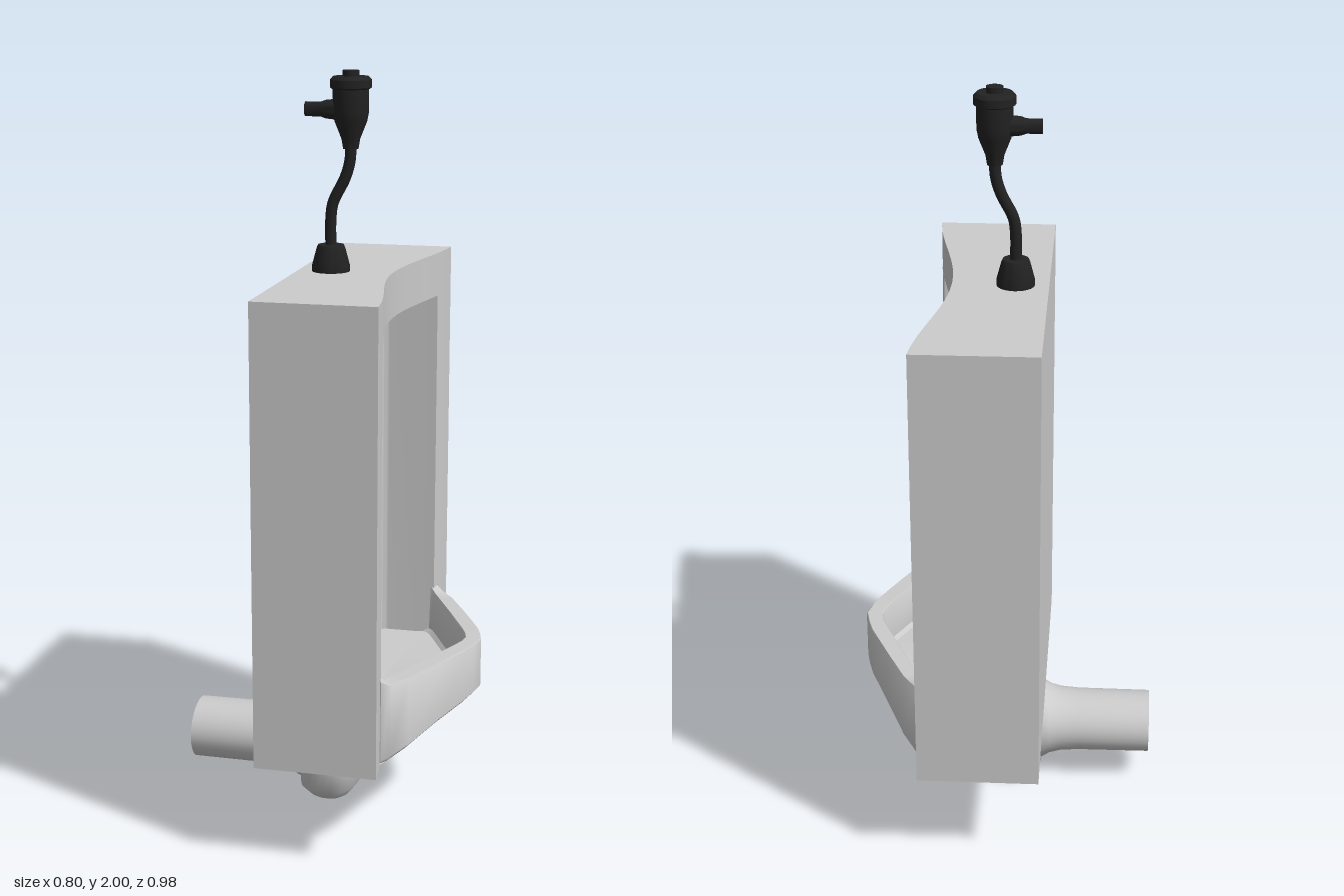
import * as THREE from 'three';
import { toCreasedNormals } from 'three/addons/utils/BufferGeometryUtils.js';

const ceramic = new THREE.MeshStandardMaterial({ color: 0xcccccc, side: THREE.DoubleSide });
const black = new THREE.MeshStandardMaterial({ color: 0x222222 });

// x of the concave front face at a given z
const frontX = (z) => 0.147 + 0.035 * (1 - Math.cos(Math.PI * z / 0.54));

function add(group, name, geometry, material) {
  const mesh = new THREE.Mesh(geometry, material);
  mesh.name = name;
  group.add(mesh);
}

// Skin a grid of points: rows of equal length
function loft(rows, crease) {
  const n = rows[0].length, index = [];
  for (let i = 0; i < rows.length - 1; i++) {
    for (let j = 0; j < n - 1; j++) {
      const a = i * n + j, b = a + n;
      index.push(a, a + 1, b, a + 1, b + 1, b);
    }
  }
  const g = new THREE.BufferGeometry();
  g.setAttribute('position', new THREE.Float32BufferAttribute(rows.flat(2), 3));
  g.setIndex(index);
  return toCreasedNormals(g, crease);
}

// Horizontal slice of the body, with or without the recess
function slab(y0, y1, recessed) {
  const s = new THREE.Shape();
  const arc = (z0, z1) => {
    for (let i = 0; i <= 16; i++) {
      const z = z0 + (z1 - z0) * i / 16;
      s.lineTo(frontX(z), z);
    }
  };
  s.moveTo(-0.105, -0.488);
  if (recessed) {
    arc(-0.488, -0.367);
    s.lineTo(0.065, -0.367);
    s.quadraticCurveTo(0.045, -0.367, 0.045, -0.35);
    s.lineTo(0.045, 0.35);
    s.quadraticCurveTo(0.045, 0.367, 0.065, 0.367);
    arc(0.367, 0.488);
  } else arc(-0.488, 0.488);
  s.lineTo(-0.105, 0.488);
  const g = new THREE.ExtrudeGeometry(s, { depth: y1 - y0, bevelEnabled: false, curveSegments: 6 });
  g.rotateX(-Math.PI / 2).translate(0, y0, 0);
  return toCreasedNormals(g, 0.6);
}

// Projecting lip: each entry is outer x, outer z, inner x, inner z, rim height
function lipGeometry() {
  const half = [
    [0.195, 0.392, 0.185, 0.369, 0.57],
    [0.207, 0.395, 0.194, 0.367, 0.50],
    [0.228, 0.378, 0.207, 0.352, 0.487],
    [0.266, 0.322, 0.228, 0.308, 0.487],
    [0.324, 0.203, 0.283, 0.188, 0.489],
    [0.376, 0.090, 0.338, 0.066, 0.49],
    [0.390, 0.045, 0.352, 0.030, 0.49],
    [0.400, 0.000, 0.358, 0.000, 0.49],
  ];
  const mirrored = half.slice(0, -1).reverse();
  const full = [...half.map(([a, b, c, d, e]) => [a, -b, c, -d, e]), ...mirrored];
  return loft(full.map(([ox, oz, ix, iz, top]) => {
    const low = 0.347 - 0.074 * Math.pow(Math.abs(oz) / 0.395, 1.7);
    const floor = Math.max(0.362, low + 0.025);
    const bx = frontX(oz) - 0.01, mx = (bx + ox) / 2;
    return [
      [bx, 0.27, oz], [mx, (0.27 + low) / 2 - 0.004, oz],
      [ox - 0.01, low - 0.003, oz], [ox, low + 0.008, oz],
      [ox, top - 0.004, oz], [ox - 0.003, top, oz * 0.998],
      [ix, top, iz], [ix - 0.003, top - 0.004, iz],
      [ix - 0.006, floor + 0.01, iz], [ix - 0.016, floor, iz * 0.99],
      [Math.min(frontX(iz), ix - 0.016) - 0.01, 0.362, iz * 0.98],
    ];
  }), 0.7);
}

// Closed loop of angles; squared-off circle
const angles = Array.from({ length: 33 }, (_, i) => i / 32 * Math.PI * 2);
const soft = (v) => Math.sign(v) * Math.pow(Math.abs(v), 0.8);

// Outlet trap: y, centre x, x radius, z radius
function trapGeometry() {
  const rings = [
    [0, -0.018, 0, 0], [0.002, -0.018, 0.045, 0.06], [0.01, -0.018, 0.057, 0.072],
    [0.04, -0.018, 0.08, 0.106], [0.1, -0.015, 0.086, 0.114], [0.2, -0.012, 0.092, 0.129],
    [0.235, -0.007, 0.097, 0.136], [0.255, 0.004, 0.108, 0.15], [0.275, 0.022, 0.126, 0.18],
  ];
  return loft(angles.map((t) => rings.map(([y, cx, rx, rz]) =>
    [cx + rx * soft(Math.cos(t)), y, rz * soft(Math.sin(t))])), 0.9);
}

// Open waste pipe: x, y radius, z radius
function wasteGeometry() {
  const rings = [
    [-0.4, 0.083, 0.095], [-0.2, 0.084, 0.096], [-0.15, 0.088, 0.099],
    [-0.12, 0.096, 0.106], [-0.1, 0.11, 0.11], [-0.06, 0.125, 0.11],
  ];
  return loft(angles.map((t) => rings.map(([x, ry, rz]) =>
    [x, 0.16 + ry * Math.cos(t), -rz * Math.sin(t)])), 0.9);
}

function lathe(profile, x) {
  const g = new THREE.LatheGeometry(profile.map(([r, y]) => new THREE.Vector2(r, y)), 24);
  return toCreasedNormals(g.translate(x, 0, 0), 0.6);
}

export function createModel() {
  const model = new THREE.Group();
  model.name = 'urinal';

  // Ceramic body
  const body = new THREE.Group();
  body.name = 'body';
  model.add(body);
  add(body, 'bodyBase', slab(0.27, 0.36, false), ceramic);
  add(body, 'recessedBody', slab(0.36, 1.36, true), ceramic);
  add(body, 'bodyTop', slab(1.36, 1.48, false), ceramic);
  add(body, 'bowlLip', lipGeometry(), ceramic);

  // Drain
  add(model, 'drainTrap', trapGeometry(), ceramic);
  add(model, 'wastePipe', wasteGeometry(), ceramic);

  // Flush valve
  const valve = new THREE.Group();
  valve.name = 'flushValve';
  model.add(valve);
  add(valve, 'valveCollar', lathe([[0.05, 1.478], [0.05, 1.495], [0.038, 1.54],
    [0.034, 1.55], [0, 1.55]], -0.018), black);
  const path = new THREE.CatmullRomCurve3([[-0.018, 1.53], [-0.018, 1.62], [-0.012, 1.66],
    [0.02, 1.725], [0.033, 1.77], [0.035, 1.83]].map(([x, y]) => new THREE.Vector3(x, y, 0)));
  add(valve, 'supplyTube', new THREE.TubeGeometry(path, 32, 0.015, 12), black);
  add(valve, 'valveHead', lathe([[0, 1.8], [0.02, 1.8], [0.024, 1.825], [0.042, 1.87],
    [0.046, 1.89], [0.047, 1.952], [0.054, 1.956], [0.054, 1.976], [0.046, 1.985],
    [0.022, 1.985], [0.022, 2], [0, 2]], 0.035), black);
  const handle = lathe([[0, -0.03], [0.03, -0.03], [0.024, 0.03], [0.019, 0.045],
    [0.019, 0.085], [0, 0.085]], 0);
  add(valve, 'valveHandle', handle.rotateZ(Math.PI / 2).translate(0, 1.9, 0), black);

  return model;
}
